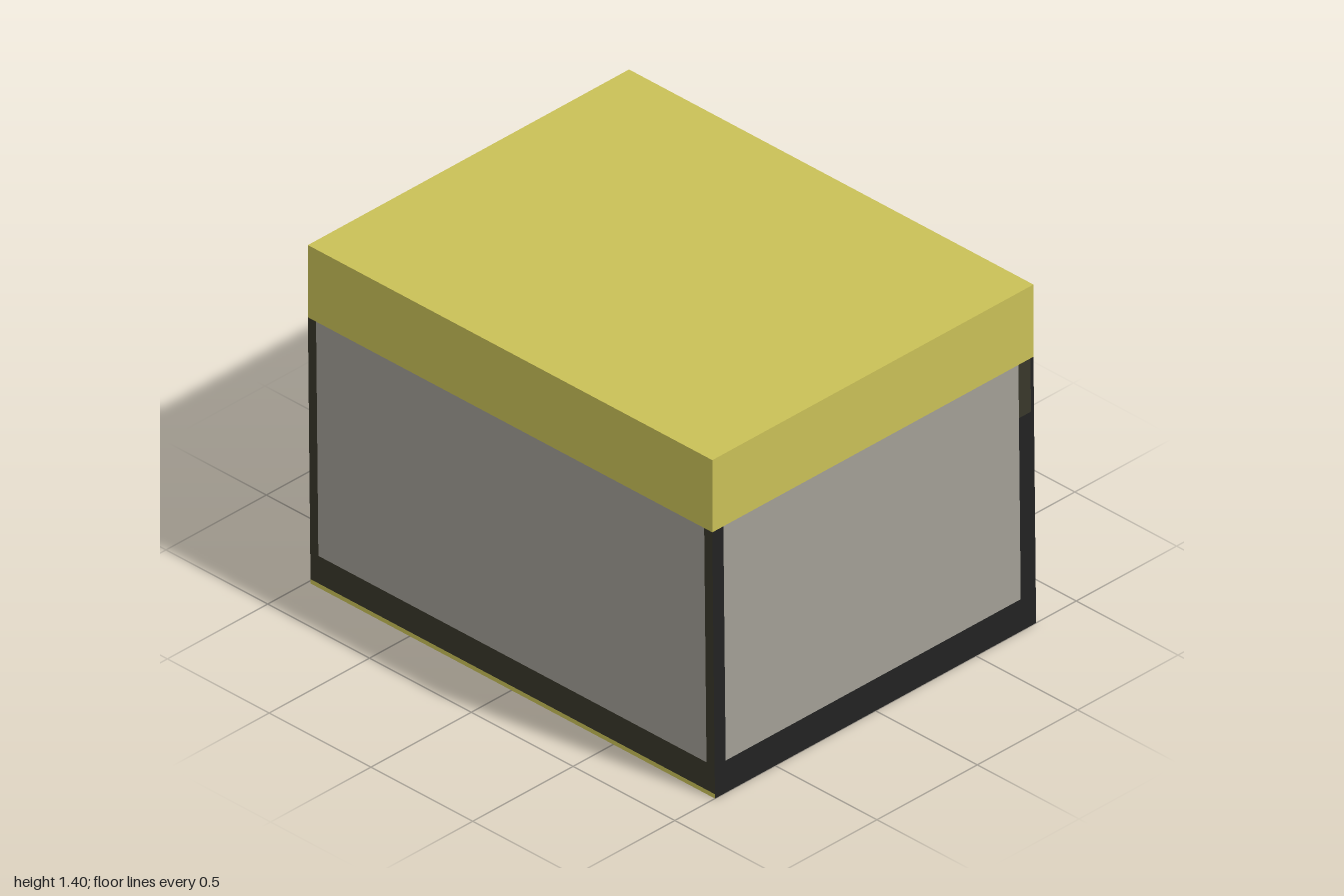
import * as THREE from 'three';

const mat = (name, color) => {
  const m = new THREE.MeshStandardMaterial({ color });
  m.name = name;
  return m;
};

export function createModel() {
  const yellow = mat('yellow paint', 0xc9c057);
  const grey = mat('grey panel', 0xa19e95);
  const black = mat('black frame', 0x222222);
  const olive = mat('dark olive frame', 0x38372a);

  const model = new THREE.Group();
  model.name = 'shelter';
  const L = -1, R = 0.987, F = 0.8, B = -0.8; // outer edges under the roof
  const H = 1.1, SIDE = 0.04, FRONT = 0.055, POST = 0.075, BEAM = 0.132, LEAN = 0.013;

  // Box from ranges; everything below the roof leans slightly towards +x at the foot.
  // Material array order: +x, -x, +y, -y, +z, -z
  function box(name, [x0, x1], [y0, y1], [z0, z1], material, parent = model) {
    const g = new THREE.BoxGeometry(x1 - x0, y1 - y0, z1 - z0);
    g.translate((x0 + x1) / 2, (y0 + y1) / 2, (z0 + z1) / 2);
    const p = g.attributes.position;
    for (let i = 0; i < p.count; i++) {
      p.setX(i, p.getX(i) + LEAN * Math.max(0, 1 - p.getY(i) / H));
    }
    g.computeVertexNormals();
    const mesh = new THREE.Mesh(g, material);
    mesh.name = name;
    parent.add(mesh);
    return mesh;
  }

  // Roof slab with a dark trim under its rear edge
  box('roof', [L, R], [H, 1.4], [B, F], yellow);
  box('rearCeilingTrim', [L + SIDE, R - SIDE], [H - 0.004, H], [B, B + 0.07], black);

  // Front wall: panel, bottom beam and thin sill
  const front = new THREE.Group();
  front.name = 'frontWall';
  model.add(front);
  const beamFaces = [black, black, black, black, olive, black];
  box('frontPanel', [L + SIDE, R - SIDE], [BEAM, H], [F - FRONT, F], grey, front);
  box('frontBeam', [L + SIDE, R - SIDE], [0.018, BEAM], [F - FRONT, F], beamFaces, front);
  box('frontSill', [L, R], [0, 0.018], [F - FRONT, F],
    [black, black, black, black, yellow, black], front);

  // Side walls: panel, front corner post, rear post and bottom beam; the rear stays open
  for (const s of [1, -1]) {
    const wall = new THREE.Group();
    wall.name = s > 0 ? 'leftWall' : 'rightWall';
    model.add(wall);
    const x = s > 0 ? [R - SIDE, R] : [L, L + SIDE];
    const inner = s > 0 ? olive : black;
    const framed = [black, inner, black, black, black, black];
    box('sidePanel', x, [BEAM, H], [B + POST, F - FRONT], grey, wall);
    box('cornerPost', x, [0.018, H], [F - FRONT, F], beamFaces, wall);
    box('rearPost', x, [0, 0.88], [B, B + POST], framed, wall);
    box('rearPostTop', x, [0.88, H], [B + 0.015, B + POST], olive, wall);
    box('rearPostEdge', x, [0.88, H], [B, B + 0.015], [black, olive, black, black, black, olive], wall);
    box('rearBeam', x, [0, BEAM], [B + POST, 0.08], framed, wall);
    box('foreBeam', x, [0, BEAM], [0.08, F - FRONT], black, wall);
  }
  return model;
}
